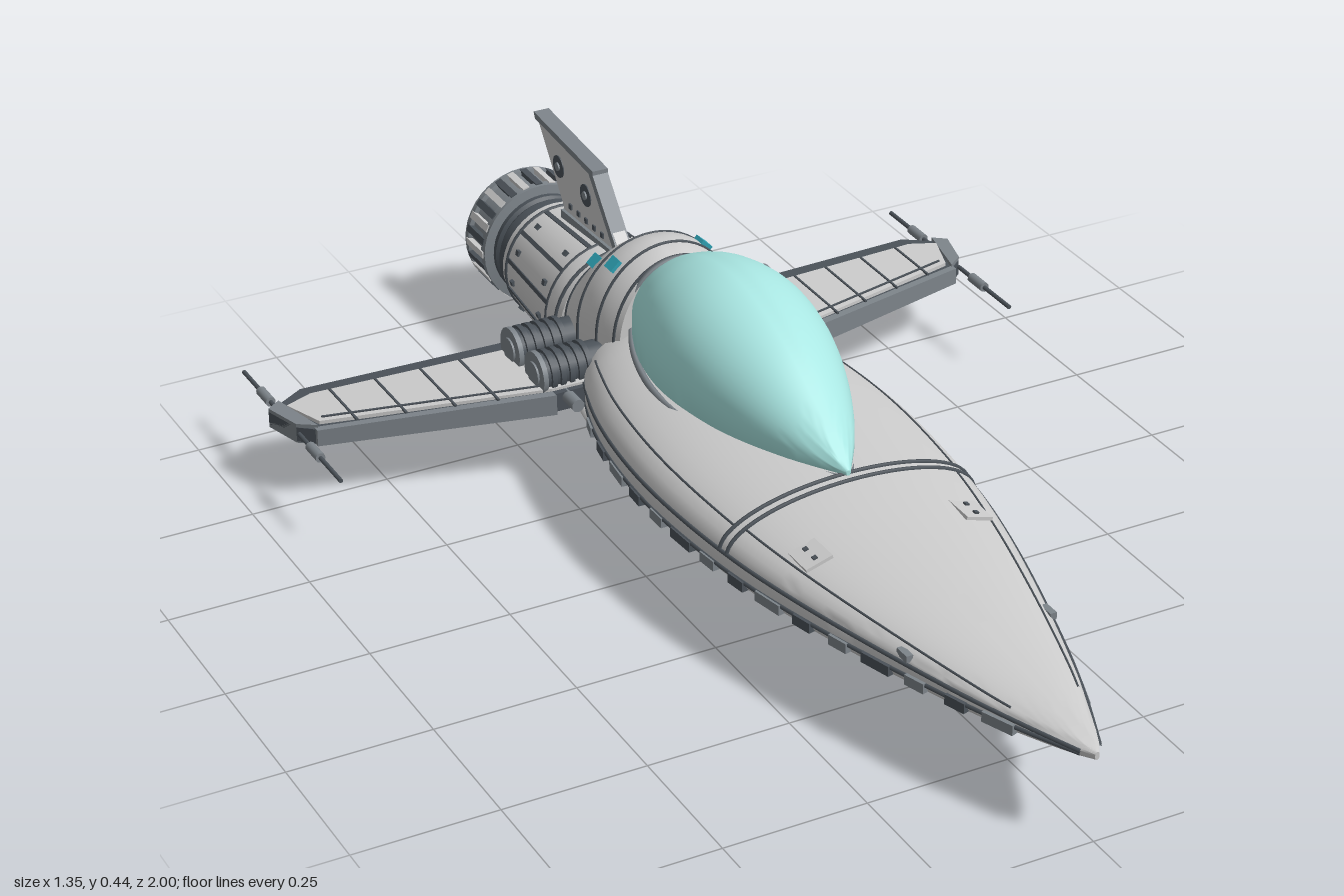
import * as THREE from 'three';
import { toCreasedNormals } from 'three/addons/utils/BufferGeometryUtils.js';

const mat = (color) => new THREE.MeshStandardMaterial({ color });
const GREY = mat(0xcccccc), DARK = mat(0x4b5259), STEEL = mat(0x7d848a), GLASS = mat(0xa9e6e2);
const ORANGE = mat(0xb9752c), GOLD = mat(0xd0a63c), CYAN = mat(0x2fa3b5);
const V = (x, y, z) => new THREE.Vector3(x, y, z);

// Cross-section rows: z, half width, rim height, top, bottom
const HULL = [
  [1, .004, .157, .164, .15], [.97, .022, .157, .17, .143], [.9, .05, .157, .18, .128], [.8, .088, .157, .192, .112],
  [.6, .15, .157, .215, .091], [.4, .202, .157, .235, .081], [.23, .232, .157, .25, .076], [0, .246, .157, .263, .074],
  [-.2, .228, .157, .266, .075], [-.34, .192, .157, .264, .08], [-.39, .17, .157, .255, .088]];
const CANOPY = [
  [.24, .004, .255, .26, .25], [.15, .062, .26, .325, .235], [.05, .107, .265, .39, .22], [-.05, .135, .27, .43, .22],
  [-.15, .145, .27, .445, .22], [-.25, .132, .27, .43, .22], [-.33, .105, .27, .395, .22], [-.37, .085, .27, .365, .22]];
const COLLAR = [
  [-.36, .115, .2, .368, .08], [-.4, .132, .2, .379, .07], [-.45, .14, .2, .378, .06],
  [-.5, .14, .19, .355, .055], [-.54, .13, .18, .315, .05], [-.575, .118, .165, .283, .045]];

// Smooth interpolation of a section table at z
function sectionAt(T, z) {
  let i = 0;
  while (i < T.length - 2 && z < T[i + 1][0]) i++;
  const h = T[i + 1][0] - T[i][0], t = (z - T[i][0]) / h;
  const slope = (k, c) => {
    const a = T[Math.max(k - 1, 0)], b = T[Math.min(k + 1, T.length - 1)];
    return (b[c] - a[c]) / (b[0] - a[0]);
  };
  return [0, 1, 2, 3, 4].map((c) => (2 * t ** 3 - 3 * t * t + 1) * T[i][c] + (3 * t * t - 2 * t ** 3) * T[i + 1][c]
    + h * ((t ** 3 - 2 * t * t + t) * slope(i, c) + (t ** 3 - t * t) * slope(i + 1, c)));
}

// Point on a lofted body; the rim has a short upright wall
function surfacePoint(T, z, a) {
  const [, w, mid, top, bot] = sectionAt(T, z), s = Math.sin(a);
  return V(w * Math.cos(a), s >= 0 ? mid + (top - mid) * (.15 + .85 * s) : mid + (mid - bot) * (.85 * s - .15), z);
}

function loft(T, rows, N = 48) {
  const pos = [], idx = [], z0 = T[0][0], z1 = T[T.length - 1][0];
  for (let i = 0; i <= rows; i++) {
    const z = z0 + (z1 - z0) * i / rows;
    for (let j = 0; j < N; j++) pos.push(...surfacePoint(T, z, (j + .5) / N * Math.PI * 2).toArray());
  }
  const front = pos.length / 3;
  pos.push(0, T[0][2], z0, 0, T[T.length - 1][2], z1);
  for (let j = 0; j < N; j++) {
    const k = (j + 1) % N;
    for (let i = 0; i < rows; i++) {
      const a = i * N + j, b = i * N + k;
      idx.push(a, a + N, b, b, a + N, b + N);
    }
    idx.push(front, j, k, front + 1, rows * N + k, rows * N + j);
  }
  const g = new THREE.BufferGeometry();
  g.setAttribute('position', new THREE.Float32BufferAttribute(pos, 3));
  g.setIndex(idx);
  return toCreasedNormals(g, .7);
}

export function createModel() {
  const root = new THREE.Group();
  root.name = 'spacecraft';
  const add = (name, geo, m, p = [0, 0, 0], parent = root) => {
    const mesh = new THREE.Mesh(geo, m);
    mesh.name = name;
    mesh.position.set(...p);
    parent.add(mesh);
    return mesh;
  };
  const box = (name, size, m, p, parent) => add(name, new THREE.BoxGeometry(...size), m, p, parent);
  const tube = (name, pts, r, m, seg = pts.length * 3) =>
    add(name, new THREE.TubeGeometry(new THREE.CatmullRomCurve3(pts), seg, r, 6), m);
  const rod = (name, r, len, m, p, axis, sides = 16) => {
    const g = new THREE.CylinderGeometry(r, r, len, sides);
    if (axis === 'x') g.rotateZ(Math.PI / 2); else g.rotateX(Math.PI / 2);
    return add(name, g, m, p);
  };
  const lathe = (name, pts, m, p) => add(name, toCreasedNormals(new THREE.LatheGeometry(
    pts.map((q) => new THREE.Vector2(...q)), 40).rotateX(Math.PI / 2), .5), m, p);
  const along = (T, za, zb, a, n = 14) =>
    Array.from({ length: n + 1 }, (_, i) => surfacePoint(T, za + (zb - za) * i / n, a));
  const arch = (T, z, a0 = .05) =>
    Array.from({ length: 17 }, (_, i) => surfacePoint(T, z, a0 + (Math.PI - 2 * a0) * i / 16));

  // Main bodies
  add('hull', loft(HULL, 56), GREY);
  add('canopy', loft(CANOPY, 32), GLASS);
  add('collar', loft(COLLAR, 20), GREY);
  for (const z of [.232, .252]) tube('hullSeam', arch(HULL, z), .004, DARK, 48);
  for (const z of [-.372, -.41, -.47, -.545]) tube('collarBand', arch(COLLAR, z, -.3), .003, DARK, 48);
  tube('canopyRearFrame', arch(CANOPY, -.366), .007, STEEL, 40);

  for (const s of [1, -1]) {
    const ang = (a) => (s > 0 ? a : Math.PI - a);

    // Hull rim, panel lines and plates
    tube('rimUpper', along(HULL, .98, -.37, ang(.03)), .004, DARK);
    tube('rimLower', along(HULL, .98, -.37, ang(-.03)), .004, DARK);
    tube('nosePanelLine', along(HULL, .85, .25, ang(.55)), .002, DARK);
    tube('rearPanelLine', along(HULL, .23, -.36, ang(.5)), .002, DARK);
    for (let i = 0; i < 15; i++) {
      const z = .84 - i * .08, p = surfacePoint(HULL, z, ang(-.12)), q = surfacePoint(HULL, z - .02, ang(-.12));
      box('rimPlate', [.014, .018, i % 3 ? .04 : .06], i % 2 ? DARK : STEEL, p.toArray())
        .rotation.y = Math.atan2(p.x - q.x, p.z - q.z);
    }
    const h = surfacePoint(HULL, .38, ang(.78)), k = surfacePoint(HULL, .38, ang(.88));
    const hatch = box('hatch', [.05, .006, .06], GREY, h.toArray());
    hatch.rotation.z = Math.atan((k.y - h.y) / (k.x - h.x));
    for (const z of [-.015, .015]) box('hatchBolt', [.008, .004, .008], DARK, [0, .004, z], hatch);
    box('noseLight', [.012, .012, .03], STEEL, surfacePoint(HULL, .65, ang(.3)).toArray());
    tube('canopySill', Array.from({ length: 14 }, (_, i) => {
      const z = .235 - i * .0462;
      return V(s * (sectionAt(CANOPY, z)[1] + .002), sectionAt(HULL, z)[3] - .004 - .02 * Math.sin(i / 13 * Math.PI), z);
    }), .006, STEEL);

    // Wing: dark slab with a light upper skin, drooping to the tip
    const slab = (name, pts, y, t, m) => {
      const g = new THREE.ExtrudeGeometry(new THREE.Shape(pts.map(([x, z]) => new THREE.Vector2(s * x, -z))),
        { depth: t, bevelEnabled: false }).rotateX(-Math.PI / 2);
      const P = g.attributes.position;
      for (let i = 0; i < P.count; i++) {
        const d = Math.abs(P.getX(i)) - .25;
        P.setY(i, (P.getY(i) - t / 2) * (1 - .5 * d) + y - .065 * d);
      }
      g.computeVertexNormals();
      return add(name, g, m);
    };
    slab('wing', [[.1, -.345], [.24, -.36], [.63, -.49], [.655, -.515], [.675, -.59], [.6, -.63], [.1, -.55]], .152, .034, DARK);
    slab('wingSkin', [[.12, -.355], [.24, -.372], [.618, -.5], [.645, -.58], [.595, -.595], [.12, -.52]], .17, .008, GREY);
    slab('wingTipCap', [[.625, -.49], [.655, -.515], [.675, -.59], [.65, -.605]], .154, .046, STEEL);
    slab('leadingEdge', [[.24, -.352], [.63, -.482], [.63, -.496], [.24, -.368]], .152, .038, STEEL);
    for (const x of [.33, .4, .48, .56]) {
      slab('wingPanelLine', [[x, -.36 - (x - .24) * .335], [x + .004, -.36 - (x - .24) * .335],
        [x + .004, -.538 - (x - .24) * .157], [x, -.538 - (x - .24) * .157]], .174, .004, DARK);
    }
    slab('wingSparLine', [[.25, -.388], [.61, -.508], [.61, -.512], [.25, -.392]], .174, .004, DARK);

    // Wing-tip rods
    for (const [z, len] of [[-.42, .18], [-.68, .16]]) {
      rod('tipRod', .004, len, DARK, [s * .652, .128, z], 'z', 8);
      rod('tipSleeve', .009, .045, STEEL, [s * .652, .128, z + (z > -.5 ? -.02 : .02)], 'z', 10);
    }

    // Ribbed thrusters between collar and wing
    for (const z of [-.41, -.508]) {
      rod('thrusterCore', .034, .15, DARK, [s * .175, .19, z], 'x', 20);
      for (let i = 0; i < 6; i++) rod('thrusterRib', .04, .009, i === 5 ? STEEL : DARK, [s * (.165 + i * .017), .19, z], 'x', 20);
      rod('thrusterCap', .022, .012, STEEL, [s * .252, .19, z], 'x');
    }
    rod('rootNozzle', .012, .06, STEEL, [s * .215, .16, -.35], 'z', 10);

    // Collar lights
    for (const z of [-.435, -.505]) {
      const p = surfacePoint(COLLAR, z, ang(.9));
      box('collarLight', [.024, .012, .026], CYAN, p.toArray()).rotation.z = -s * .75;
    }

    // Landing skids with braces
    tube('skid', [V(s * .135, .085, -.11), V(s * .127, .055, -.18), V(s * .115, .017, -.31), V(s * .112, .017, -.37),
      V(s * .112, .03, -.48), V(s * .11, .065, -.56)], .015, GREY, 30);
    for (let i = 0; i < 5; i++) {
      const z = -.2 - i * .032;
      tube('skidBrace', [V(s * .115, .04, z - .015), V(s * .1, .062, z), V(s * .07, .088, z + .015)], .007, ORANGE, 8);
    }
    tube('fuelPipe', [V(s * .11, .11, -.56), V(s * .14, .115, -.6), V(s * .14, .11, -.68), V(s * .105, .105, -.71)], .005, ORANGE, 20);
  }

  // Engine
  const C = [0, .155, 0];
  lathe('engineBody', [[.1, -.862], [.107, -.855], [.11, -.825], [.123, -.65], [.127, -.61], [.122, -.585], [.112, -.575], [.112, -.5]], GREY, C);
  lathe('engineNeck', [[.09, -.93], [.1, -.915], [.1, -.9], [.094, -.895], [.1, -.885], [.1, -.87], [.095, -.85]], DARK, C);
  for (const [z, r] of [[-.6, .125], [-.64, .123], [-.835, .109]]) {
    add('engineHoop', new THREE.TorusGeometry(r, .004, 6, 40), DARK, [0, .155, z]);
  }
  for (let i = 0; i < 12; i++) {
    const spoke = new THREE.Group();
    spoke.name = 'enginePanel';
    spoke.position.set(...C);
    spoke.rotation.z = (i + .5) / 12 * Math.PI * 2;
    root.add(spoke);
    box('engineGroove', [.008, .006, .19], DARK, [0, .116, -.735], spoke).rotation.x = -.074;
    for (const z of [-.67, -.8]) box('engineBolt', [.01, .006, .01], DARK, [.026, .121 + (z + .67) * .08, z], spoke);
  }
  lathe('nozzle', [[.078, -.94], [.086, -.985], [.092, -1], [.114, -1], [.118, -.994], [.118, -.982], [.11, -.98],
    [.11, -.93], [.117, -.928], [.117, -.912], [.09, -.908]], STEEL, C);
  for (let i = 0; i < 28; i++) {
    const a = i / 28 * Math.PI * 2;
    box('nozzleRib', [.013, .014, .07], i % 2 ? GREY : DARK, [.112 * Math.sin(a), .155 + .112 * Math.cos(a), -.953]).rotation.z = -a;
  }
  add('nozzleGlow', new THREE.CircleGeometry(.082, 36).rotateY(Math.PI), GOLD, [0, .155, -.955]);
  add('nozzleLiner', new THREE.TorusGeometry(.08, .008, 8, 40), ORANGE, [0, .155, -.965]);

  // Tail fin: profile in (z, y), extruded across x
  const fin = (name, pts, t, m) => add(name, new THREE.ExtrudeGeometry(
    new THREE.Shape(pts.map(([z, y]) => new THREE.Vector2(-z, y))), { depth: t, bevelEnabled: false })
    .translate(0, 0, -t / 2).rotateY(Math.PI / 2), m);
  fin('tailFin', [[-.56, .265], [-.78, .26], [-.79, .29], [-.89, .42], [-.67, .405], [-.56, .29]], .024, GREY);
  fin('finCap', [[-.66, .4], [-.895, .418], [-.9, .43], [-.66, .412]], .03, STEEL);
  fin('finLeadingEdge', [[-.555, .28], [-.57, .275], [-.68, .405], [-.665, .41]], .03, STEEL);
  fin('finFoot', [[-.58, .265], [-.79, .25], [-.79, .282], [-.58, .29]], .036, STEEL);
  for (const [z, y] of [[-.695, .35], [-.805, .36]]) {
    rod('finPort', .021, .028, DARK, [0, y, z], 'x', 20);
    rod('finPortHub', .008, .034, STEEL, [0, y, z], 'x', 10);
  }
  for (let i = 0; i < 5; i++) box('finRivet', [.03, .01, .01], DARK, [0, .3, -.63 - i * .032]);
  return root;
}
